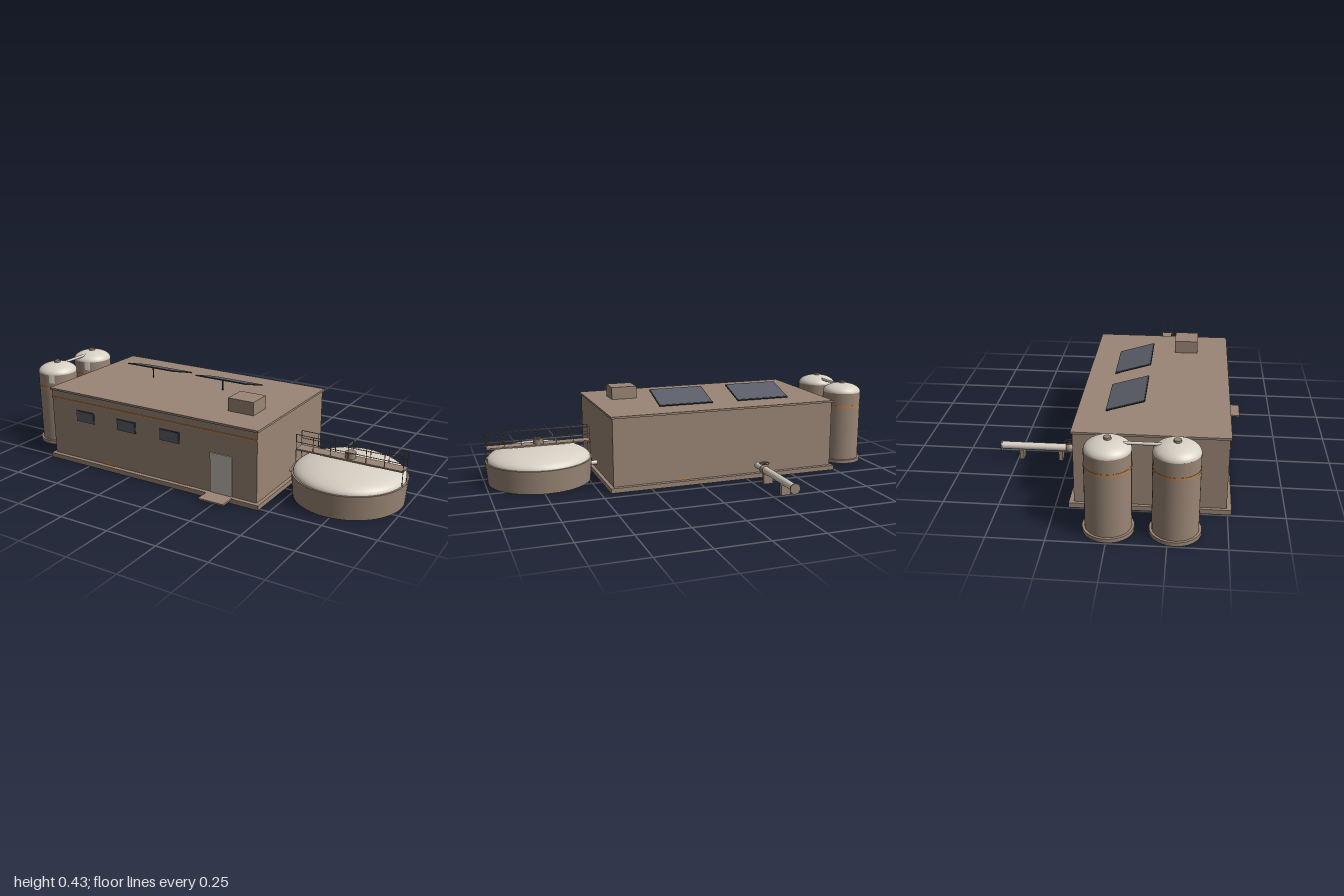
import * as THREE from 'three';

const mat = (name, color, side = THREE.FrontSide) => {
  const m = new THREE.MeshStandardMaterial({ color, side });
  m.name = name;
  return m;
};

export function createModel() {
  const model = new THREE.Group();
  model.name = 'treatmentPlant';
  const brown = mat('brown', 0x9a8676);
  const brownShell = mat('brownShell', 0x9a8676, THREE.DoubleSide);
  const cream = mat('cream', 0xd8d0c4);
  const creamShell = mat('creamShell', 0xd8d0c4, THREE.DoubleSide);
  const doorGrey = mat('doorGrey', 0xc6beb3);
  const rust = mat('rust', 0xb98350);
  const glass = mat('glass', 0x5b5e69);
  const dark = mat('dark', 0x2b3034);

  const add = (parent, name, geo, material, x = 0, y = 0, z = 0) => {
    const mesh = new THREE.Mesh(geo, material);
    mesh.name = name;
    mesh.position.set(x, y, z);
    parent.add(mesh);
    return mesh;
  };
  const group = (name, x = 0, y = 0, z = 0) => {
    const g = new THREE.Group();
    g.name = name;
    g.position.set(x, y, z);
    model.add(g);
    return g;
  };
  // Box given by its extents on each axis
  const block = (parent, name, material, x0, x1, y0, y1, z0, z1) =>
    add(parent, name, new THREE.BoxGeometry(x1 - x0, y1 - y0, z1 - z0), material,
      (x0 + x1) / 2, (y0 + y1) / 2, (z0 + z1) / 2);
  // Upright cylinder between two heights
  const drum = (parent, name, material, r, y0, y1, x = 0, z = 0, sides = 32) =>
    add(parent, name, new THREE.CylinderGeometry(r, r, y1 - y0, sides), material, x, (y0 + y1) / 2, z);
  // Round rod between two points
  const rod = (parent, name, material, r, a, b, sides = 16) => {
    const p = new THREE.Vector3(...a), d = new THREE.Vector3(...b).sub(p);
    const m = add(parent, name, new THREE.CylinderGeometry(r, r, d.length(), sides), material);
    m.position.copy(p).addScaledVector(d, 0.5);
    m.quaternion.setFromUnitVectors(new THREE.Vector3(0, 1, 0), d.normalize());
    return m;
  };
  const dome = (parent, name, material, r, h, y) => {
    const m = add(parent, name, new THREE.SphereGeometry(r, 48, 12, 0, Math.PI * 2, 0, Math.PI / 2), material, 0, y, 0);
    m.scale.y = h / r;
    return m;
  };

  // Building
  const building = group('building');
  block(building, 'plinth', brown, -0.745, 0.453, 0, 0.023, -0.19, 0.517);
  block(building, 'walls', brown, -0.73, 0.435, 0.023, 0.357, -0.168, 0.496);
  block(building, 'roof', brown, -0.737, 0.442, 0.357, 0.367, -0.175, 0.503);
  block(building, 'frontStripe', rust, -0.73, 0.435, 0.313, 0.322, 0.496, 0.499);
  block(building, 'door', doorGrey, 0.196, 0.308, 0.023, 0.217, 0.496, 0.501);
  block(building, 'doorStep', brown, 0.185, 0.316, 0.016, 0.024, 0.497, 0.586);
  block(building, 'roofUnit', brown, 0.2, 0.332, 0.367, 0.43, 0.232, 0.348);
  for (const x of [-0.522, -0.273, -0.024]) {
    block(building, 'windowFrame', dark, x - 0.055, x + 0.055, 0.22, 0.277, 0.496, 0.4985);
    block(building, 'windowPane', glass, x - 0.051, x + 0.051, 0.224, 0.273, 0.4985, 0.501);
  }

  // Rust stains rising from the plinth: x, z, half width, height, facing
  for (const [x, z, w, h, turn] of [
    [-0.39, 0.498, 0.038, 0.022, 0], [0.04, 0.498, 0.022, 0.013, 0],
    [0.437, 0.435, 0.018, 0.01, Math.PI / 2], [0.09, -0.17, 0.028, 0.014, Math.PI],
  ]) {
    const stain = add(building, 'rustStain', new THREE.CircleGeometry(1, 20, 0, Math.PI), rust, x, 0.023, z);
    stain.scale.set(w, h, 1);
    stain.rotation.y = turn;
  }

  // Solar panels tilted towards the back
  for (const x of [-0.396, 0.022]) {
    const panel = group('solarPanel', x, 0.401, 0.04);
    const tilt = new THREE.Group();
    tilt.name = 'panelTilt';
    tilt.rotation.x = -Math.atan2(0.052, 0.172);
    panel.add(tilt);
    add(tilt, 'panelFrame', new THREE.BoxGeometry(0.282, 0.005, 0.18), dark);
    add(tilt, 'panelGlass', new THREE.BoxGeometry(0.276, 0.002, 0.174), glass, 0, 0.0032, 0);
    rod(panel, 'panelLeg', dark, 0.003, [0, -0.034, 0.06], [0, 0.016, 0.06], 8);
  }

  // Two upright pressure vessels
  for (const z of [0, 0.28]) {
    const vessel = group('vessel', -0.885, 0, z);
    drum(vessel, 'vesselBase', brown, 0.11, 0, 0.018, 0, 0, 40);
    drum(vessel, 'vesselBody', brown, 0.099, 0.018, 0.377, 0, 0, 40);
    drum(vessel, 'vesselBand', rust, 0.1005, 0.301, 0.313, 0, 0, 40);
    dome(vessel, 'vesselDome', cream, 0.099, 0.046, 0.377);
    drum(vessel, 'vesselCap', brown, 0.016, 0.415, 0.432, 0, 0, 20);
    add(vessel, 'vesselStreak',
      new THREE.CylinderGeometry(0.1005, 0.1005, 0.045, 6, 1, true, 0.25, 0.3), creamShell, 0, 0.356, 0);
    for (const y of [0.068, 0.25])
      rod(vessel, 'vesselPipe', cream, 0.009, [0.09, y, 0], [0.16, y, 0]);
  }
  rod(model, 'vesselLinkPipe', cream, 0.007, [-0.885, 0.407, 0.06], [-0.885, 0.407, 0.22]);

  // Wide domed tank, open underneath
  const tank = group('domedTank', 0.731, 0, 0.164);
  add(tank, 'tankWall', new THREE.CylinderGeometry(0.264, 0.255, 0.114, 64, 1, true), brownShell, 0, 0.057, 0);
  const rim = add(tank, 'tankRim', new THREE.RingGeometry(0.255, 0.264, 64), brownShell, 0, 0.114, 0);
  rim.rotation.x = -Math.PI / 2;
  dome(tank, 'tankDome', creamShell, 0.256, 0.065, 0.114);
  drum(tank, 'tankHatch', brown, 0.025, 0.172, 0.213, 0, 0, 24);
  rod(model, 'tankPipe', cream, 0.011, [0.43, 0.06, 0.164], [0.495, 0.06, 0.164]);

  // Walkway across the tank with railings on both sides
  const walkway = group('walkway', 0.731, 0, 0.166);
  block(walkway, 'deck', brown, -0.257, 0.257, 0.179, 0.186, -0.031, 0.031);
  for (const z of [-0.029, 0.029]) {
    for (const y of [0.22, 0.256])
      rod(walkway, 'handrail', brown, 0.0017, [-0.256, y, z], [0.256, y, z], 6);
    for (let i = 0; i < 7; i++) {
      const x = -0.256 + i * 0.512 / 6;
      const foot = i === 0 || i === 6 ? 0.114 : 0.183;
      rod(walkway, 'railPost', brown, 0.0017, [x, foot, z], [x, 0.257, z], 6);
    }
  }

  // Outlet pipe behind the building
  const outlet = group('outletPipe', -0.316, 0, 0);
  rod(outlet, 'pipeNeck', cream, 0.015, [0, 0.061, -0.16], [0, 0.061, -0.25]);
  rod(outlet, 'pipe', cream, 0.018, [0, 0.061, -0.25], [0, 0.061, -0.582], 24);
  rod(outlet, 'endFlange', brown, 0.026, [0, 0.058, -0.579], [0, 0.058, -0.585], 24);
  add(outlet, 'valveBody', new THREE.SphereGeometry(0.024, 24, 16), brown, 0, 0.061, -0.25);
  rod(outlet, 'valveStem', dark, 0.003, [0, 0.08, -0.25], [0, 0.092, -0.25], 8);
  const wheel = add(outlet, 'valveWheel', new THREE.TorusGeometry(0.024, 0.0025, 8, 24), brown, 0, 0.092, -0.25);
  wheel.rotation.x = Math.PI / 2;
  for (const turn of [0, Math.PI / 2]) {
    const spoke = add(outlet, 'wheelSpoke', new THREE.BoxGeometry(0.046, 0.002, 0.003), brown, 0, 0.092, -0.25);
    spoke.rotation.y = turn;
  }
  for (const z of [-0.291, -0.482])
    block(outlet, 'pipeSupport', brown, -0.024, 0.024, 0, 0.05, z - 0.01, z + 0.01);

  return model;
}
